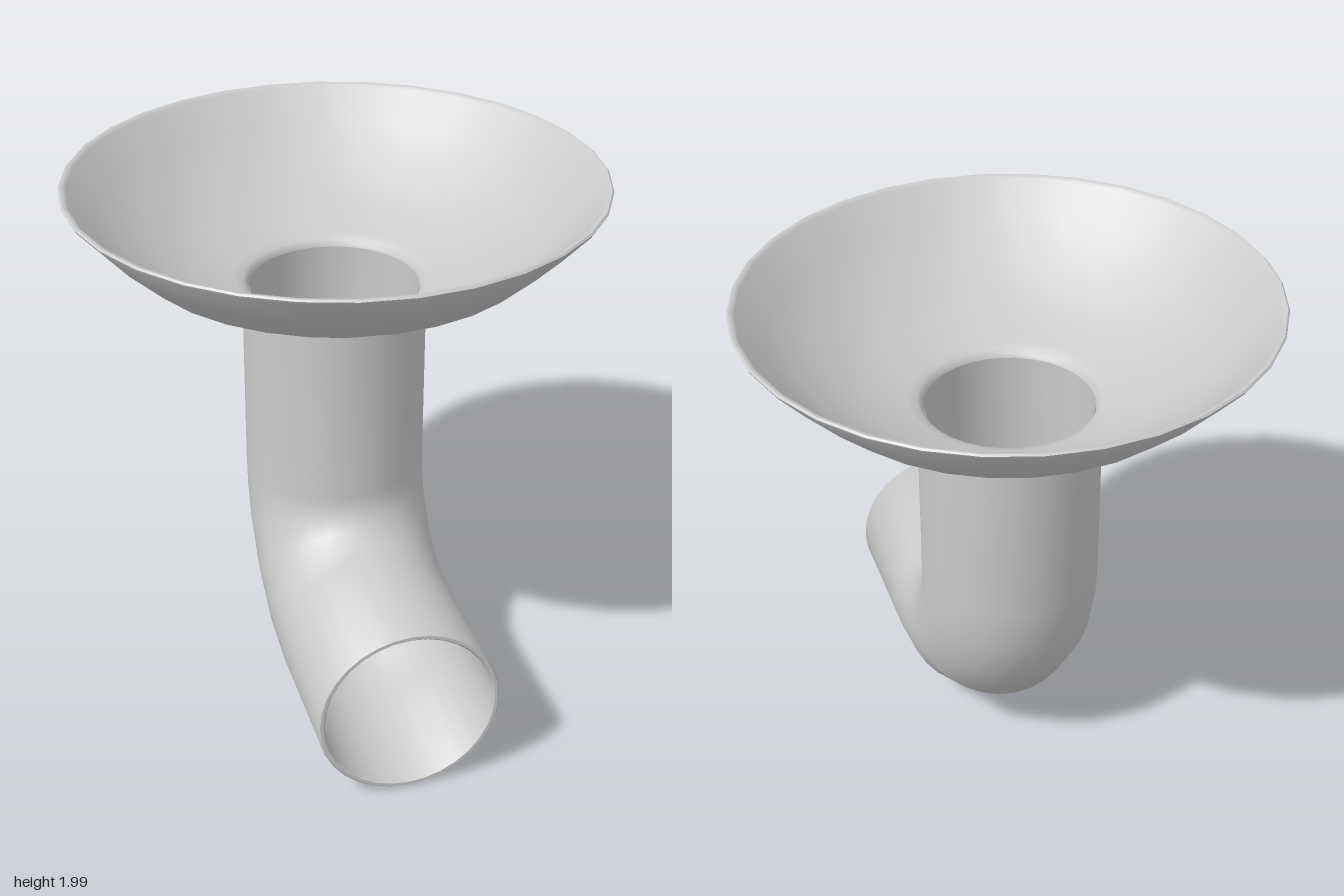
import * as THREE from 'three';
import { toCreasedNormals } from 'three/addons/utils/BufferGeometryUtils.js';

const SIDES = 32;
const AXIS_Z = -0.02;   // axis of the upright pipe
const BEND = 0.5;       // elbow radius along the pipe axis
const BEND_Y = 0.85, BEND_Z = AXIS_Z + BEND;

// A ring station on the pipe path: bend angle in degrees, plus a straight
// offset upward (before the elbow) or forward (after it)
function station(deg, r, up = 0, forward = 0) {
  const a = THREE.MathUtils.degToRad(deg);
  return {
    r, a,
    y: BEND_Y - BEND * Math.sin(a) + up,
    z: BEND_Z - BEND * Math.cos(a) + forward,
  };
}

// Skin of rings perpendicular to the path
function skinRings(stations) {
  const positions = [], index = [];
  stations.forEach(({ r, a, y, z }, i) => {
    for (let j = 0; j < SIDES; j++) {
      const t = (j / SIDES) * Math.PI * 2;
      const across = r * Math.cos(t), out = r * Math.sin(t);
      positions.push(across, y - out * Math.sin(a), z - out * Math.cos(a));
      if (i === 0) continue;
      const k = (j + 1) % SIDES, p = (i - 1) * SIDES, q = i * SIDES;
      index.push(p + j, q + j, p + k, p + k, q + j, q + k);
    }
  });
  const geometry = new THREE.BufferGeometry();
  geometry.setAttribute('position', new THREE.Float32BufferAttribute(positions, 3));
  geometry.setIndex(index);
  return toCreasedNormals(geometry, 0.75);
}

function createPipe() {
  const outer = 0.339, inner = 0.313;
  const angles = [0, 12, 26, 46, 68, 90];
  const length = 0.985 - BEND_Z;
  const elbow = (r) => angles.map((deg) => station(deg, r));
  return skinRings([
    // outside, from the bowl down to the open end
    station(0, outer, 1.58 - BEND_Y),
    ...elbow(outer),
    station(90, outer, 0, length - 0.008),
    // rounded lip
    station(90, outer - 0.007, 0, length),
    station(90, inner + 0.007, 0, length),
    station(90, inner, 0, length - 0.008),
    // inside, back up to the bowl
    ...elbow(inner).reverse(),
    station(0, inner, 1.575 - BEND_Y),
  ]);
}

function createBowl() {
  const profile = [
    // outside
    [0.337, 1.575], [0.53, 1.628], [0.74, 1.745], [0.875, 1.87], [0.978, 1.985],
    // rim
    [0.982, 1.994], [0.976, 2.0], [0.964, 1.999], [0.955, 1.99],
    // inside and throat
    [0.855, 1.888], [0.725, 1.77], [0.52, 1.655], [0.37, 1.612],
    [0.335, 1.6], [0.318, 1.585], [0.313, 1.56],
  ].map(([r, y]) => new THREE.Vector2(r, y));
  const geometry = new THREE.LatheGeometry(profile, SIDES);
  // lean the throat back so it meets the pipe
  const p = geometry.attributes.position;
  for (let i = 0; i < p.count; i++) {
    const lean = Math.min(1, Math.max(0, (1.7 - p.getY(i)) / 0.125));
    p.setZ(i, p.getZ(i) + AXIS_Z * lean);
  }
  return toCreasedNormals(geometry, 0.85);
}

export function createModel() {
  const group = new THREE.Group();
  group.name = 'ventilationHorn';
  const material = new THREE.MeshStandardMaterial({ color: 0xcccccc, side: THREE.DoubleSide });
  const parts = { elbowPipe: createPipe(), flaredBowl: createBowl() };
  for (const [name, geometry] of Object.entries(parts)) {
    const mesh = new THREE.Mesh(geometry, material);
    mesh.name = name;
    group.add(mesh);
  }
  // stand on the ground
  group.position.y = -(BEND_Y - BEND - 0.339);
  group.position.y = Math.min(0, group.position.y + 0.011);
  return group;
}
